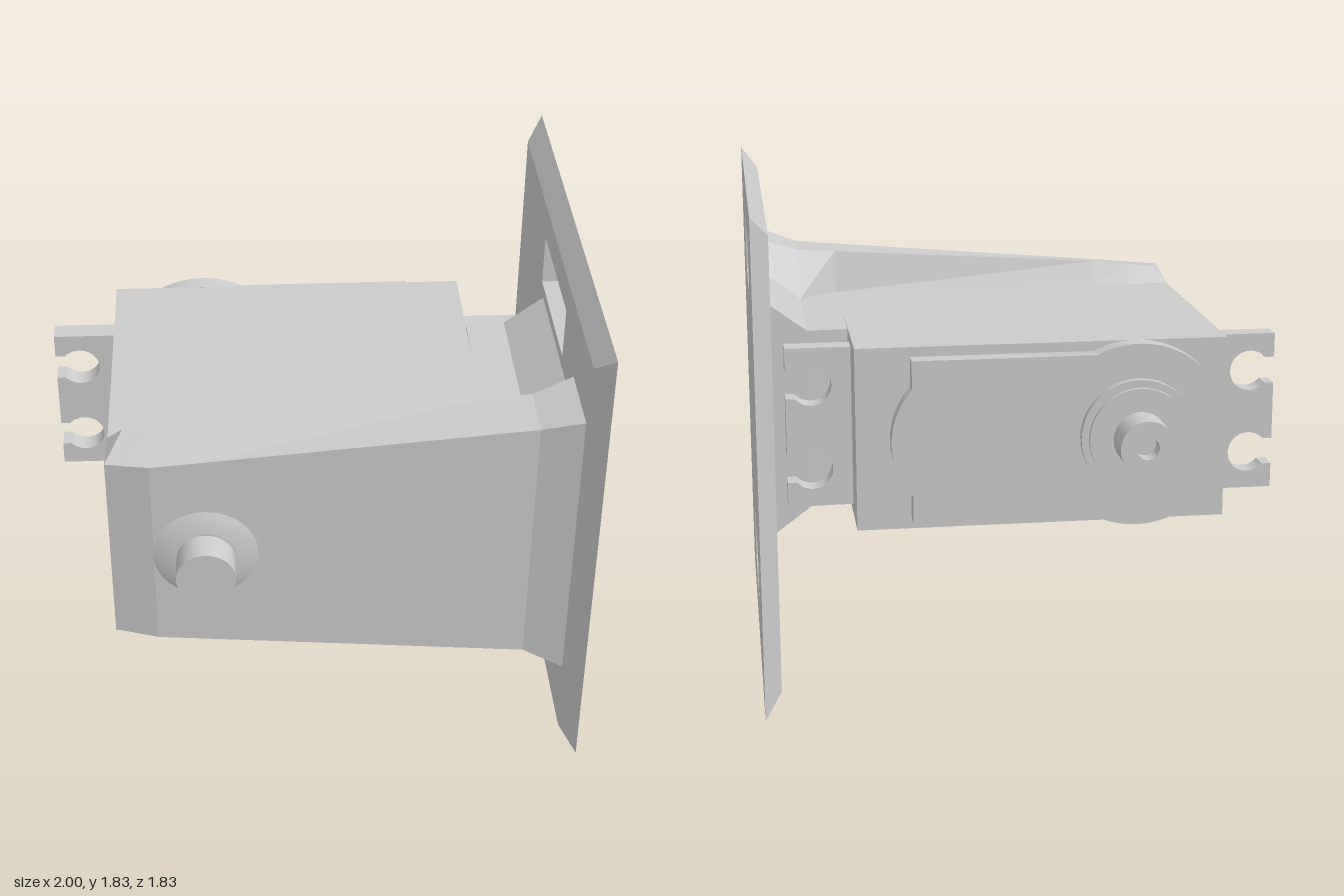
import * as THREE from 'three';
import { toCreasedNormals } from 'three/addons/utils/BufferGeometryUtils.js';

const CY = 0.925;      // height of the centre line
const AXIS_X = -0.41;  // output shaft axis
const BODY_H = 0.347;  // half height of the servo body
const mat = new THREE.MeshStandardMaterial({ color: 0xcccccc, side: THREE.DoubleSide });

function add(group, name, geo) {
  const mesh = new THREE.Mesh(geo, mat);
  mesh.name = name;
  group.add(mesh);
  return mesh;
}

function box(x0, x1, y0, y1, z0, z1) {
  return new THREE.BoxGeometry(x1 - x0, y1 - y0, z1 - z0)
    .translate((x0 + x1) / 2, (y0 + y1) / 2, (z0 + z1) / 2);
}

function slab(shape, z0, z1) {
  const geo = new THREE.ExtrudeGeometry(shape, { depth: z1 - z0, bevelEnabled: false, curveSegments: 24 });
  return toCreasedNormals(geo.translate(0, 0, z0), 0.5);
}

// Turned part on the shaft axis; profile is [radius, z]
function turned(profile) {
  const geo = new THREE.LatheGeometry(profile.map(([r, z]) => new THREE.Vector2(r, z)), 40);
  return toCreasedNormals(geo.rotateX(Math.PI / 2).translate(AXIS_X, CY, 0), 0.4);
}

// Mounting plate with chamfered rim and two windows
function plateGeometry() {
  const H = 0.913;
  const rect = (P, x0, x1, y0, y1) => new P([[x0, y0], [x1, y0], [x1, y1], [x0, y1]]
    .map(([x, y]) => new THREE.Vector2(x, y)));
  const shape = rect(THREE.Shape, -H, H, -H, H);
  for (const y of [-0.589, 0.614]) shape.holes.push(rect(THREE.Path, -0.27, 0.264, y - 0.1, y + 0.1));
  const geo = new THREE.ExtrudeGeometry(shape, { depth: 0.063, bevelEnabled: false });
  const p = geo.attributes.position;
  for (let i = 0; i < p.count; i++) {
    if (p.getZ(i) < 0.01 && Math.abs(p.getX(i)) > 0.9) {
      p.setX(i, Math.sign(p.getX(i)) * (H - 0.078));
      p.setY(i, Math.sign(p.getY(i)) * (H - 0.078));
    }
  }
  geo.computeVertexNormals();
  return geo.rotateY(Math.PI / 2).translate(0.937, H, 0);
}

// Faceted bracket: symmetric sections along x, each with
// [x, back z, base z, base half height, crest z, crest half height, front z, front half height]
function bracketGeometry() {
  const sections = [
    [-0.76, 0.49, 0.50, BODY_H, 0.501, BODY_H, 0.72, 0.388],
    [-0.70, 0.49, 0.50, BODY_H, 0.54, 0.411, 0.735, 0.391],
    [-0.60, 0.49, 0.50, BODY_H, 0.54, 0.424, 0.76, 0.397],
    [-0.45, 0.49, 0.50, BODY_H, 0.54, 0.440, 0.76, 0.410],
    [0.63, 0.49, 0.50, BODY_H, 0.54, 0.510, 0.76, 0.504],
    [0.635, -0.205, 0.50, BODY_H, 0.54, 0.511, 0.76, 0.505],
    [0.787, -0.212, 0.385, BODY_H, 0.54, 0.520, 0.76, 0.518],
    [0.94, -0.215, 0.385, 0.46, 0.51, 0.573, 0.803, 0.573],
  ].map(([x, zk, zb, hb, zc, hc, zf, hf]) => {
    const top = [[zk, hb], [zb, hb], [zc, hc], [zf, hf]];
    const bottom = top.map(([z, h]) => [z, -h]).reverse();
    return [...top, ...bottom].map(([z, h]) => [x, CY + h, z]);
  });
  const pos = [];
  const tri = (...pts) => pts.forEach((q) => pos.push(...q));
  for (let i = 0; i < sections.length - 1; i++) {
    const s = sections[i], t = sections[i + 1];
    for (let j = 0; j < 8; j++) {
      const k = (j + 1) % 8;
      tri(s[j], s[k], t[j]);
      tri(s[k], t[k], t[j]);
    }
  }
  const s = sections[0], e = sections[sections.length - 1];
  for (let j = 0; j < 3; j++) {
    tri(s[j], s[7 - j], s[j + 1]);
    tri(s[j + 1], s[7 - j], s[6 - j]);
    tri(e[j], e[j + 1], e[7 - j]);
    tri(e[j + 1], e[6 - j], e[7 - j]);
  }
  const geo = new THREE.BufferGeometry();
  geo.setAttribute('position', new THREE.Float32BufferAttribute(pos, 3));
  geo.computeVertexNormals();
  return geo;
}

// Ear with two keyhole slots open to its outer edge; outer edge at x = 0
function earShape() {
  const r = 0.078, s = 0.051, cx = 0.095;
  const a = Math.PI - Math.asin(s / r);
  const shape = new THREE.Shape();
  shape.moveTo(0, -0.308);
  shape.lineTo(0.25, -0.308);
  shape.lineTo(0.25, 0.308);
  shape.lineTo(0, 0.308);
  for (const y of [0.163, -0.163]) {
    shape.lineTo(0, y + s);
    shape.lineTo(cx + r * Math.cos(a), y + s);
    shape.absarc(cx, y, r, a, -a, true);
    shape.lineTo(0, y - s);
  }
  return shape;
}

// Gear cover outline: round end about the shaft, straight sides, bulged far end
function coverShape() {
  const R = 0.348, h = 0.31, x1 = 0.43, b = 0.2;
  const a = Math.asin(h / R);
  const shape = new THREE.Shape();
  shape.absarc(AXIS_X, CY, R, a, 2 * Math.PI - a, false);
  shape.lineTo(x1, CY - h);
  shape.lineTo(x1, CY - b);
  // arc through the bulge tip, beyond the straight end
  const rise = 0.077, rad = (b * b + rise * rise) / (2 * rise), t = Math.asin(b / rad);
  shape.absarc(x1 + rise - rad, CY, rad, -t, t, false);
  shape.lineTo(x1, CY + h);
  return shape;
}

export function createModel() {
  const model = new THREE.Group();
  model.name = 'servoWithBracket';

  add(model, 'mountingPlate', plateGeometry());
  add(model, 'bracket', bracketGeometry());
  add(model, 'servoBody', box(-0.758, 0.633, CY - BODY_H, CY + BODY_H, -0.536, 0.505));

  // Ears on both ends of the servo
  const right = add(model, 'rightEar', slab(earShape(), -0.33, -0.248));
  right.position.set(-1, CY, 0);
  const left = add(model, 'leftEar', slab(earShape(), 0.248, 0.33));
  left.position.set(0.88, CY, 0);
  left.rotation.y = Math.PI;

  // Gear cover, bearing rings and hollow output shaft at the back
  add(model, 'gearCover', slab(coverShape(), -0.605, -0.53));
  add(model, 'outputShaft', turned([
    [0, 0.73], [0.042, 0.73], [0.042, 0.793], [0.102, 0.793], [0.102, 0.656],
    [0.19, 0.656], [0.19, 0.636], [0.218, 0.636], [0.218, 0.6],
  ].map(([r, z]) => [r, -z])));

  // Pivot pin on a conical boss at the front
  add(model, 'pivotPin', turned([
    [0.193, 0.755], [0.193, 0.76], [0.12, 0.79], [0.108, 0.79], [0.108, 0.905], [0, 0.905],
  ]));
  return model;
}
